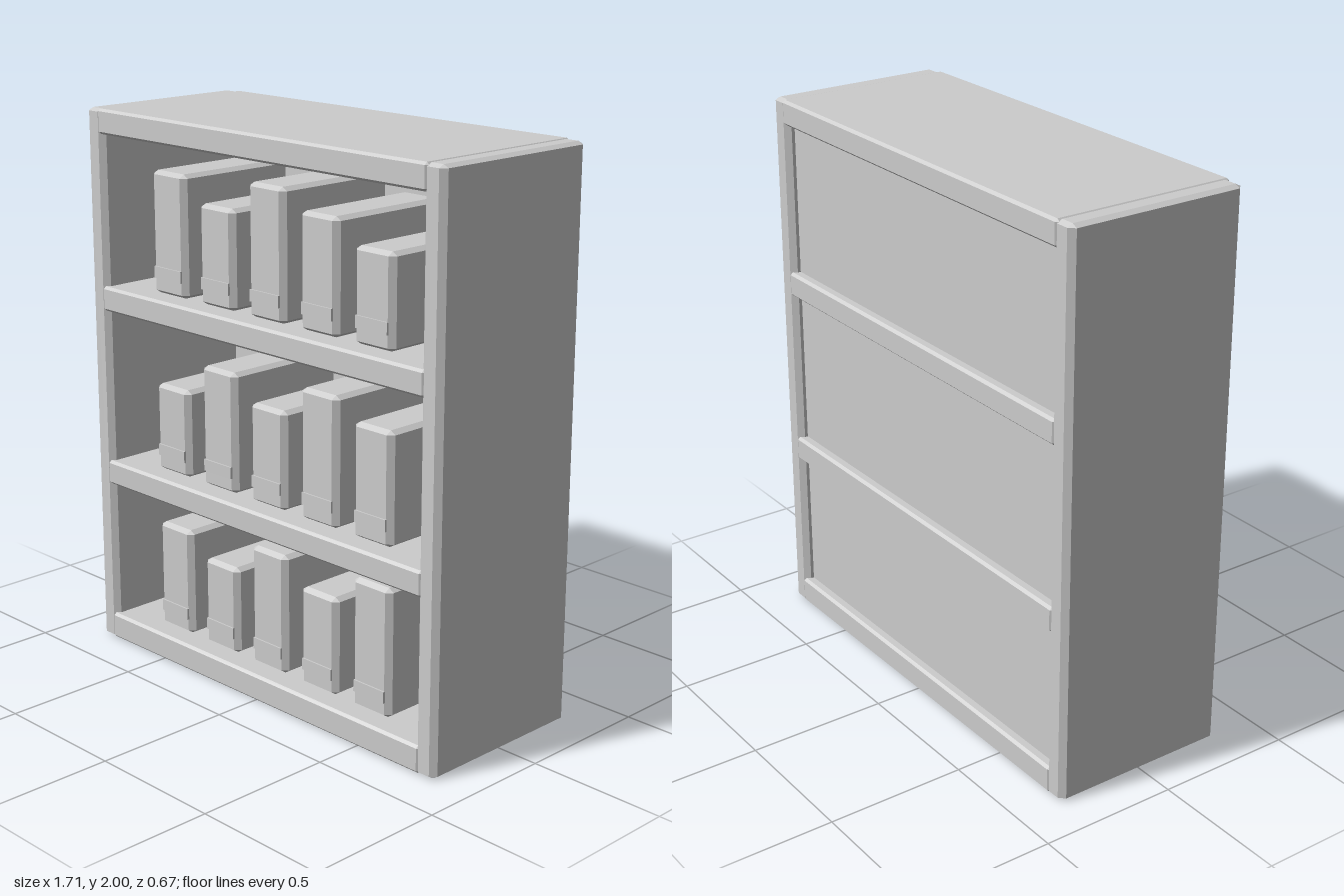
import * as THREE from 'three';
import { ConvexGeometry } from 'three/addons/geometries/ConvexGeometry.js';

// Box with chamfered edges; cx, cy, cz are the chamfer sizes along each axis.
function chamferBox(w, h, d, cx, cy, cz) {
  const points = [];
  for (const sx of [-1, 1]) for (const sy of [-1, 1]) for (const sz of [-1, 1]) {
    const x = w / 2, y = h / 2, z = d / 2;
    points.push(
      new THREE.Vector3(sx * x, sy * (y - cy), sz * (z - cz)),
      new THREE.Vector3(sx * (x - cx), sy * y, sz * (z - cz)),
      new THREE.Vector3(sx * (x - cx), sy * (y - cy), sz * z)
    );
  }
  return new ConvexGeometry(points);
}

export function createModel() {
  const model = new THREE.Group();
  model.name = 'bookcase';
  const grey = new THREE.MeshStandardMaterial({ color: 0xcccccc });
  grey.name = 'light grey';

  function add(parent, name, geometry, x, y, z) {
    const mesh = new THREE.Mesh(geometry, grey);
    mesh.name = name;
    mesh.position.set(x, y, z);
    parent.add(mesh);
    return mesh;
  }

  // Side panels
  const side = chamferBox(0.088, 1.998, 0.668, 0.02, 0.01, 0.02);
  add(model, 'leftSide', side, 0.809, 0.999, 0);
  add(model, 'rightSide', side, -0.809, 0.999, 0);

  // Base, two shelves and top
  const boards = [['base', 0.002, 0.1], ['lowerShelf', 0.615, 0.705], ['upperShelf', 1.272, 1.362], ['top', 1.91, 2]];
  for (const [name, y0, y1] of boards) {
    add(model, name, chamferBox(1.576, y1 - y0, 0.674, 0.01, 0.009, 0.01), 0, (y0 + y1) / 2, 0);
  }

  // Recessed back panel
  add(model, 'backPanel', new THREE.BoxGeometry(1.56, 1.95, 0.02), 0, 1, -0.292);

  // Rows of books, each with a thin label band near its foot
  const rows = [
    { y: 0.1, tops: [0.5, 0.425, 0.54, 0.457, 0.562] },
    { y: 0.705, tops: [1.028, 1.143, 1.06, 1.166, 1.102] },
    { y: 1.362, tops: [1.8, 1.715, 1.822, 1.76, 1.684] },
  ];
  const front = 0.265, depth = 0.5;
  const label = new THREE.BoxGeometry(0.14, 0.042, 0.008);
  rows.forEach(({ y, tops }, r) => {
    const row = new THREE.Group();
    row.name = `bookRow${r + 1}`;
    model.add(row);
    tops.forEach((top, i) => {
      const x = -0.5 + i * 0.249;
      const h = top - y;
      add(row, 'book', chamferBox(0.176, h, depth, 0.02, 0.013, 0.02), x, y + h / 2, front - depth / 2);
      add(row, 'bookLabel', label, x, y + 0.078, front + 0.002);
    });
  });

  return model;
}
